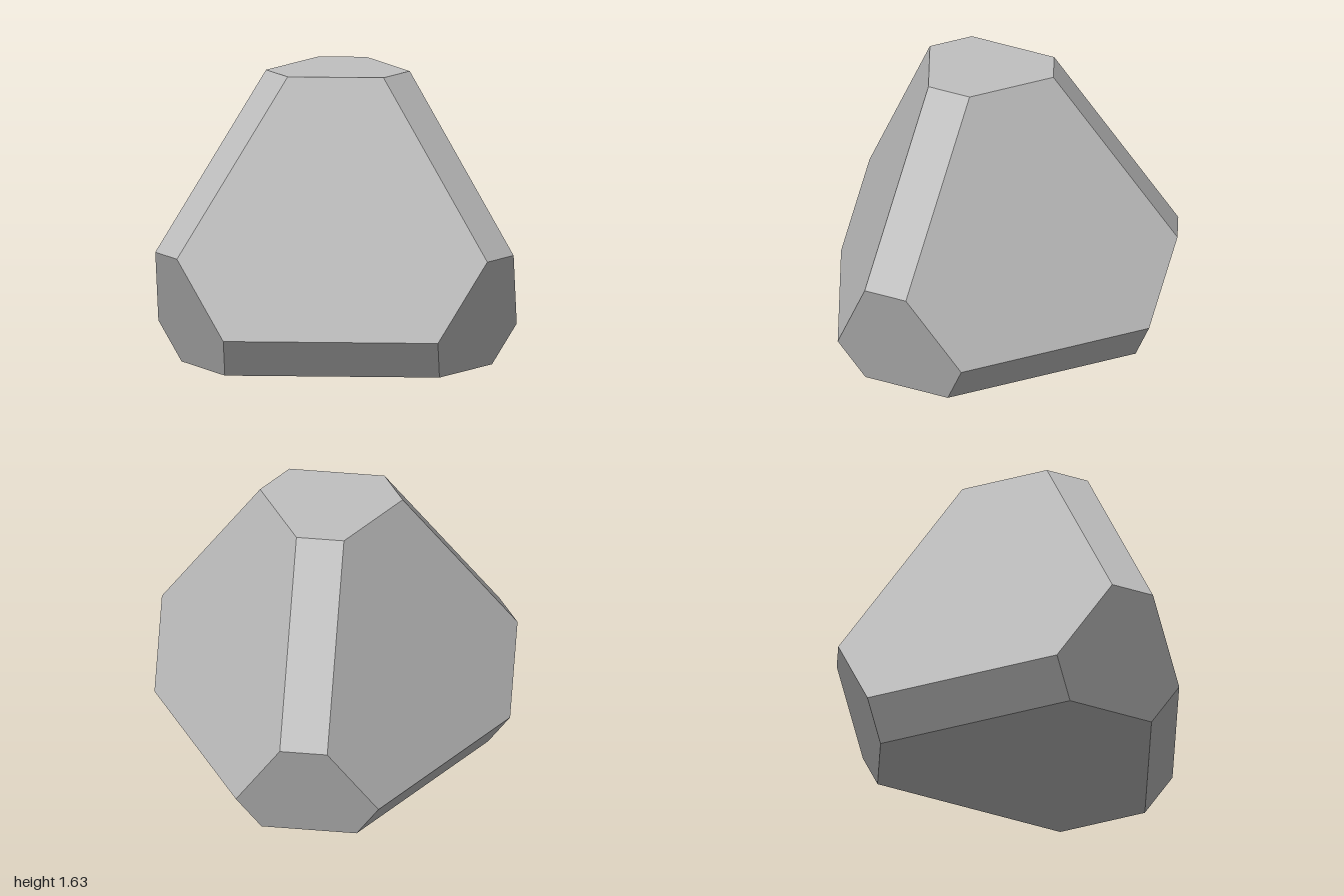
import * as THREE from 'three';
import { ConvexGeometry } from 'three/addons/geometries/ConvexGeometry.js';

// Tetrahedron with cut corners and bevelled edges: all orderings of
// (P, Q, R) with an even number of minus signs.
const P = 0.896, Q = 0.518, R = 0.329;

export function createModel() {
  const orders = [[P, Q, R], [P, R, Q], [Q, P, R], [Q, R, P], [R, P, Q], [R, Q, P]];
  const signs = [[1, 1, 1], [1, -1, -1], [-1, 1, -1], [-1, -1, 1]];
  const points = [];
  for (const o of orders) {
    for (const s of signs) points.push(new THREE.Vector3(o[0] * s[0], o[1] * s[1], o[2] * s[2]));
  }

  // One corner points up, another towards +x
  const right = new THREE.Vector3(2, -1, -1).normalize();
  const up = new THREE.Vector3(1, 1, 1).normalize();
  const front = new THREE.Vector3().crossVectors(right, up);
  const turn = new THREE.Matrix4().makeBasis(right, up, front).transpose();
  points.forEach((p) => p.applyMatrix4(turn));

  // Centre on x and z, stand on the ground
  const box = new THREE.Box3().setFromPoints(points);
  const centre = box.getCenter(new THREE.Vector3());
  points.forEach((p) => p.sub(new THREE.Vector3(centre.x, box.min.y, centre.z)));

  const lightGrey = new THREE.MeshStandardMaterial({ color: 0xc0c0c0 });
  lightGrey.name = 'lightGrey';

  const solid = new THREE.Mesh(new ConvexGeometry(points), lightGrey);
  solid.name = 'bevelledTetrahedron';

  const model = new THREE.Group();
  model.name = 'truncatedSolid';
  model.add(solid);
  return model;
}
